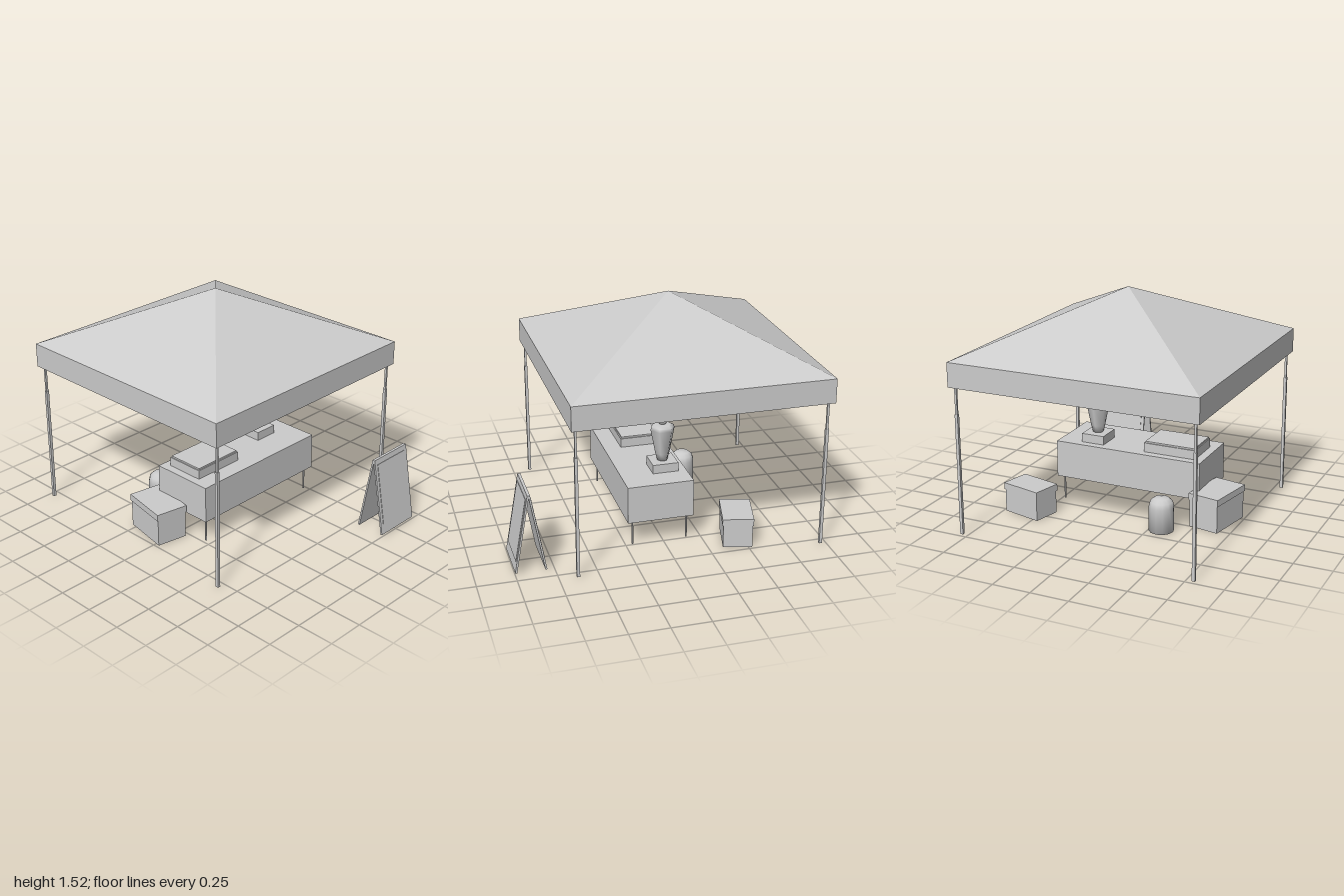
import * as THREE from 'three';

export function createModel() {
  const model = new THREE.Group();
  const grey = new THREE.MeshStandardMaterial({ color: 0xcccccc, side: THREE.DoubleSide });
  grey.name = 'plain grey';

  function add(parent, name, geometry, x = 0, y = 0, z = 0) {
    const mesh = new THREE.Mesh(geometry, grey);
    mesh.name = name;
    mesh.position.set(x, y, z);
    parent.add(mesh);
    return mesh;
  }
  function group(name, x = 0, y = 0, z = 0, turn = 0) {
    const g = new THREE.Group();
    g.name = name;
    g.position.set(x, y, z);
    g.rotation.y = turn;
    model.add(g);
    return g;
  }
  const box = (w, h, d) => new THREE.BoxGeometry(w, h, d);
  const lathe = (points, sides) =>
    new THREE.LatheGeometry(points.map(([r, y]) => new THREE.Vector2(r, y)), sides);
  // Sharp-edged copy of a geometry
  function flat(geometry) {
    const g = geometry.toNonIndexed();
    g.computeVertexNormals();
    return g;
  }

  // Canopy: pyramid roof and hanging valance, open underneath
  const canopy = group('canopy', 0, 0, -0.17);
  const R = 0.83 * Math.SQRT2;
  add(canopy, 'roof', flat(new THREE.ConeGeometry(R, 0.38, 4, 1, true, Math.PI / 4)), 0, 1.33, 0);
  add(canopy, 'valance', flat(new THREE.CylinderGeometry(R, R, 0.16, 4, 1, true, Math.PI / 4)), 0, 1.06, 0);

  // Telescopic poles
  for (const x of [-0.795, 0.795]) for (const z of [-0.965, 0.63]) {
    const pole = group('pole', x, 0, z);
    add(pole, 'lowerPole', box(0.02, 0.8, 0.02), 0, 0.4, 0);
    add(pole, 'upperPole', box(0.014, 0.34, 0.014), 0, 0.97, 0);
  }

  // Table: top, cloth skirt open below, thin legs
  const table = group('table', 0.005, 0, 0.0225);
  add(table, 'tableTop', box(1.03, 0.01, 0.435), 0, 0.411, 0);
  for (const s of [-1, 1]) {
    add(table, 'clothFront', box(1.03, 0.24, 0.004), 0, 0.287, s * 0.2155);
    add(table, 'clothSide', box(0.004, 0.24, 0.435), s * 0.513, 0.287, 0);
    for (const t of [-1, 1])
      add(table, 'tableLeg', new THREE.CylinderGeometry(0.006, 0.006, 0.41, 8), s * 0.478, 0.205, t * 0.18);
  }

  // Tray with a slightly inset lid
  const tray = group('tray', -0.275, 0.415, -0.0075);
  add(tray, 'trayBase', box(0.36, 0.062, 0.265), 0, 0.031, 0);
  add(tray, 'trayLid', box(0.346, 0.012, 0.251), 0, 0.067, 0);

  // Rotating grill: stand, stacked cone, ball and skewer
  const grill = group('grill', 0.28, 0.415, -0.055);
  add(grill, 'grillStand', box(0.16, 0.06, 0.17), 0, 0.03, 0);
  add(grill, 'grillCone', lathe(
    [[0, 0.06], [0.035, 0.06], [0.048, 0.11], [0.08, 0.275], [0.076, 0.298], [0.055, 0.308], [0, 0.308]], 6));
  add(grill, 'grillBall', lathe(
    [[0, 0.308], [0.022, 0.312], [0.031, 0.328], [0.031, 0.35], [0.022, 0.367], [0, 0.371]], 8));
  add(grill, 'skewer', new THREE.CylinderGeometry(0.003, 0.003, 0.08, 6), 0, 0.402, 0);

  // Lidded storage boxes, each turned a little
  function crate(name, x, z, w, h, d, turn) {
    const g = group(name, x, 0, z, turn);
    add(g, 'crateBody', box(w - 0.012, h - 0.04, d - 0.012), 0, (h - 0.04) / 2, 0);
    add(g, 'crateLid', box(w, 0.045, d), 0, h - 0.0225, 0);
  }
  crate('leftCrate', -0.6, -0.11, 0.22, 0.23, 0.335, -0.185);
  crate('rightCrate', 0.575, -0.467, 0.29, 0.2, 0.2, -0.245);

  // Gas bottle with a rounded top
  add(model, 'gasBottle', lathe(
    [[0, 0], [0.0825, 0], [0.0825, 0.165], [0.073, 0.2], [0.048, 0.222], [0, 0.226]], 12), -0.328, 0, -0.38);

  // Folding sign: two leaning boards with raised face panels
  for (const turn of [0, Math.PI]) {
    const side = group('signSide', 0.5175, 0.53, 0.899, turn);
    const board = new THREE.Group();
    board.name = 'signBoard';
    board.rotation.x = -0.175;
    board.position.z = 0.008;
    side.add(board);
    add(board, 'boardFrame', box(0.327, 0.525, 0.012), 0, -0.2625, -0.005);
    add(board, 'boardPanel', box(0.28, 0.42, 0.004), 0, -0.245, 0.002);
  }

  return model;
}
